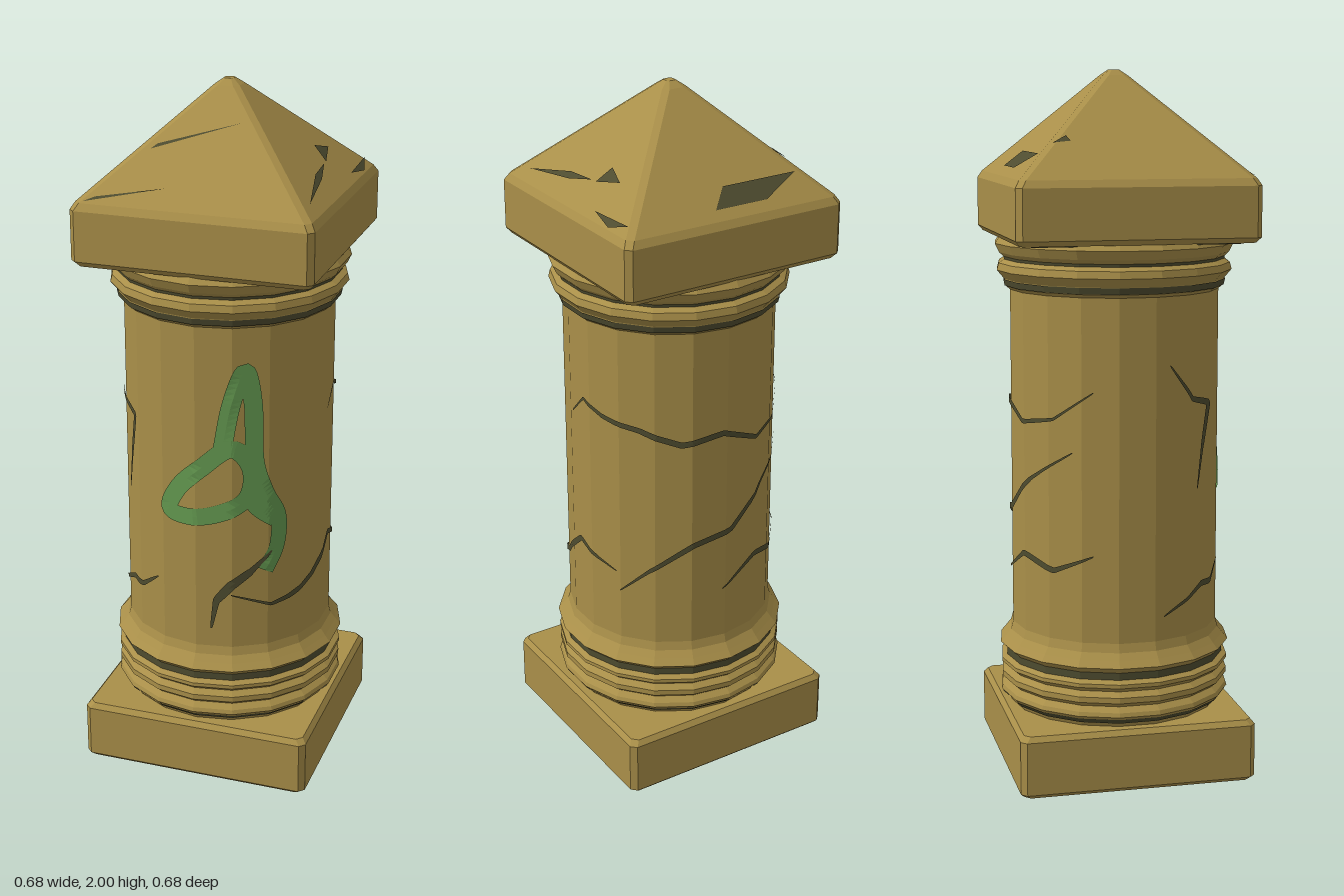
import * as THREE from 'three';

const SIDES = 18, SHAFT_R = 0.3;

function flat(geometry) {
  const g = geometry.index ? geometry.toNonIndexed() : geometry;
  g.computeVertexNormals();
  return g;
}

function fromTriangles(positions, index) {
  const g = new THREE.BufferGeometry();
  g.setAttribute('position', new THREE.Float32BufferAttribute(positions, 3));
  g.setIndex(index);
  return flat(g);
}

// Stack of square sections with clipped corners, each [y, half width]
function squareLoft(sections) {
  const pos = [], index = [];
  for (const [y, h] of sections) {
    const k = h - Math.min(0.016, h * 0.4);
    for (const [x, z] of [[k, h], [h, k], [h, -k], [k, -h], [-k, -h], [-h, -k], [-h, k], [-k, h]]) pos.push(x, y, z);
  }
  for (let i = 0; i < sections.length - 1; i++) {
    for (let j = 0; j < 8; j++) {
      const a = i * 8 + j, b = i * 8 + (j + 1) % 8;
      index.push(a, b, b + 8, a, b + 8, a + 8);
    }
  }
  return fromTriangles(pos, index);
}

// Point just outside the faceted shaft
function onShaft(angle, y, lift) {
  const step = 2 * Math.PI / SIDES;
  const local = ((angle % step) + step) % step - step / 2;
  const r = SHAFT_R * Math.cos(step / 2) / Math.cos(local) + lift;
  return [r * Math.sin(angle), y, r * Math.cos(angle)];
}

// Thin ribbon wrapped on the shaft along [angle, y] points
function ribbon(points, halfWidth, { closed = false, taper = false, lift = 0.004, smooth = true } = {}) {
  const v = points.map(([a, y]) => new THREE.Vector3(a * SHAFT_R, y, 0));
  const curve = new THREE.CatmullRomCurve3(v, closed, 'catmullrom', smooth ? 0.5 : 0.05);
  const n = points.length * 7, pos = [], index = [];
  for (let i = 0; i <= n; i++) {
    const t = i / n, p = curve.getPoint(t), d = curve.getTangent(t);
    const w = halfWidth * (taper ? 0.15 + 0.85 * Math.sin(Math.PI * t) : 1);
    for (const s of [-1, 0, 1]) {
      pos.push(...onShaft((p.x - d.y * w * s) / SHAFT_R, p.y + d.x * w * s, lift));
    }
    if (i < n) {
      for (const a of [i * 3, i * 3 + 1]) index.push(a, a + 3, a + 1, a + 1, a + 3, a + 4);
    }
  }
  return fromTriangles(pos, index);
}

const frontPoint = ([x, y]) => [Math.asin(x / SHAFT_R), y];
const sidePoint = ([z, y]) => [Math.acos(z / SHAFT_R), y];

export function createModel() {
  const model = new THREE.Group();
  const stone = new THREE.MeshStandardMaterial({ color: 0xa98f49 });
  const crevice = new THREE.MeshStandardMaterial({ color: 0x4e4c30, side: THREE.DoubleSide });
  const paint = new THREE.MeshStandardMaterial({ color: 0x659b51, side: THREE.DoubleSide });
  stone.name = 'stone';
  crevice.name = 'crevice';
  paint.name = 'greenPaint';
  const add = (name, geometry, material) => {
    const mesh = new THREE.Mesh(geometry, material);
    mesh.name = name;
    model.add(mesh);
    return mesh;
  };

  // Square plinth and pyramid cap, with a dark soffit under the cap
  add('plinth', squareLoft([[0, 0], [0, 0.327], [0.012, 0.339], [0.165, 0.339], [0.18, 0.327], [0.18, 0]]), stone);
  add('cap', squareLoft([[1.535, 0], [1.535, 0.327], [1.55, 0.339], [1.69, 0.339], [1.71, 0.327],
    [1.984, 0.036], [2, 0.014], [2, 0]]), stone);
  add('capSoffit', new THREE.BoxGeometry(0.58, 0.006, 0.58), crevice).position.y = 1.533;

  // Round shaft with ring mouldings at both ends
  const profile = [
    [0.3, 0.17], [0.31, 0.19], [0.336, 0.216], [0.332, 0.228], [0.316, 0.242], [0.333, 0.256], [0.333, 0.272],
    [0.317, 0.286], [0.334, 0.3], [0.334, 0.311], [0.316, 0.322], [0.316, 0.338], [0.337, 0.358], [0.322, 0.376],
    [0.307, 0.395], [SHAFT_R, 0.42], [SHAFT_R, 1.39], [0.312, 1.4], [0.316, 1.42], [0.337, 1.445], [0.332, 1.465],
    [0.312, 1.478], [0.33, 1.495], [0.342, 1.52], [0.325, 1.545],
  ].map(([r, y]) => new THREE.Vector2(r, y));
  add('shaft', flat(new THREE.LatheGeometry(profile, SIDES)), stone);

  // Dark bands in the hollows of the mouldings: [y, bottom radius, top radius, height]
  const grooves = [[0.2, 0.315, 0.331, 0.016], [0.328, 0.319, 0.319, 0.026],
    [1.41, 0.315, 0.319, 0.018], [1.48, 0.316, 0.318, 0.012]];
  for (const [y, bottom, top, height] of grooves) {
    const band = new THREE.CylinderGeometry(top, bottom, height, SIDES, 1, true);
    add('ringGroove', flat(band), crevice).position.y = y;
  }

  // Cracks running round the shaft
  const crackWidth = 0.009;
  const cracks = [
    [[-0.285, 1.2], [-0.25, 1.1], [-0.2, 1.08], [-0.22, 0.96], [-0.235, 0.84]].map(frontPoint),
    [[-0.29, 0.49], [-0.22, 0.56], [-0.18, 0.56], [-0.12, 0.61]].map(frontPoint),
    [...[[0.1, 0.59], [0.2, 0.55]].map(frontPoint),
      ...[[0.18, 0.56], [0.1, 0.6], [0, 0.69], [-0.08, 0.66], [-0.14, 0.64]].map(sidePoint)],
    [...[[0.03, 1.09], [-0.03, 1.15], [-0.1, 1.12], [-0.2, 1.1], [-0.27, 1.06]].map(sidePoint),
      [3.1, 1.08], [3.5, 1.03], [3.9, 1.05], [4.3, 1.13]],
    [[2.1, 0.58], [2.4, 0.66], [2.8, 0.74], [3.2, 0.77], [3.6, 0.87], [4.1, 0.96]],
    [[3.1, 0.58], [3.5, 0.65], [3.9, 0.62], [4.3, 0.67]],
  ];
  for (const points of cracks) add('crack', ribbon(points, crackWidth, { taper: true, lift: 0.006, smooth: false }), crevice);
  const gash = [[0.2, 0.72], [0.15, 0.66], [0.1, 0.62], [0.06, 0.57], [0.045, 0.48]];
  add('gash', ribbon(gash.map(frontPoint), 0.014, { taper: true, lift: 0.006, smooth: false }), crevice);

  // Green painted scribble on the front
  const loop = [[-0.08, 0.84], [-0.05, 0.91], [0.02, 0.98], [0.1, 1.04], [0.15, 0.98], [0.14, 0.89], [0.06, 0.84], [-0.03, 0.825]];
  const tail = [[0.075, 1.03], [0.1, 1.17], [0.135, 1.265], [0.155, 1.17], [0.16, 1], [0.185, 0.9],
    [0.215, 0.82], [0.212, 0.73], [0.185, 0.66]];
  add('paintLoop', ribbon(loop.map(frontPoint), 0.026, { closed: true }), paint);
  add('paintTail', ribbon(tail.map(frontPoint), 0.026), paint);
  const smudge = [[0.15, 0.95], [0.16, 0.88], [0.2, 0.8]];
  add('paintSmudge', ribbon(smudge.map(frontPoint), 0.03, { taper: true }), paint);

  // Chipped slivers on the sloping cap, given as [x, z]
  const slope = (x, z) => 1.71 + (0.327 - Math.max(Math.abs(x), Math.abs(z))) * 0.274 / 0.291 + 0.004;
  const chips = [
    [[-0.23, -0.26], [-0.11, -0.305], [0.05, -0.305], [0, -0.26]],
    [[0.24, -0.14], [0.26, -0.05], [0.22, -0.07]],
    [[0.26, -0.03], [0.28, 0.06], [0.3, 0.24], [0.265, 0.07]],
    [[0.305, -0.29], [0.325, -0.22], [0.31, -0.13]],
    [[-0.155, 0.195], [0.08, 0.12], [-0.14, 0.182]],
    [[-0.3, 0.325], [-0.08, 0.28], [-0.27, 0.312]],
    [[-0.23, -0.22], [-0.21, -0.18], [-0.225, -0.17]],
  ];
  for (const chip of chips) {
    const index = [];
    for (let i = 1; i < chip.length - 1; i++) index.push(0, i + 1, i);
    // Keep the winding facing upward
    if (THREE.ShapeUtils.area(chip.map(([x, z]) => ({ x, y: z }))) < 0) index.reverse();
    add('capChip', fromTriangles(chip.flatMap(([x, z]) => [x, slope(x, z), z]), index), crevice);
  }
  return model;
}
